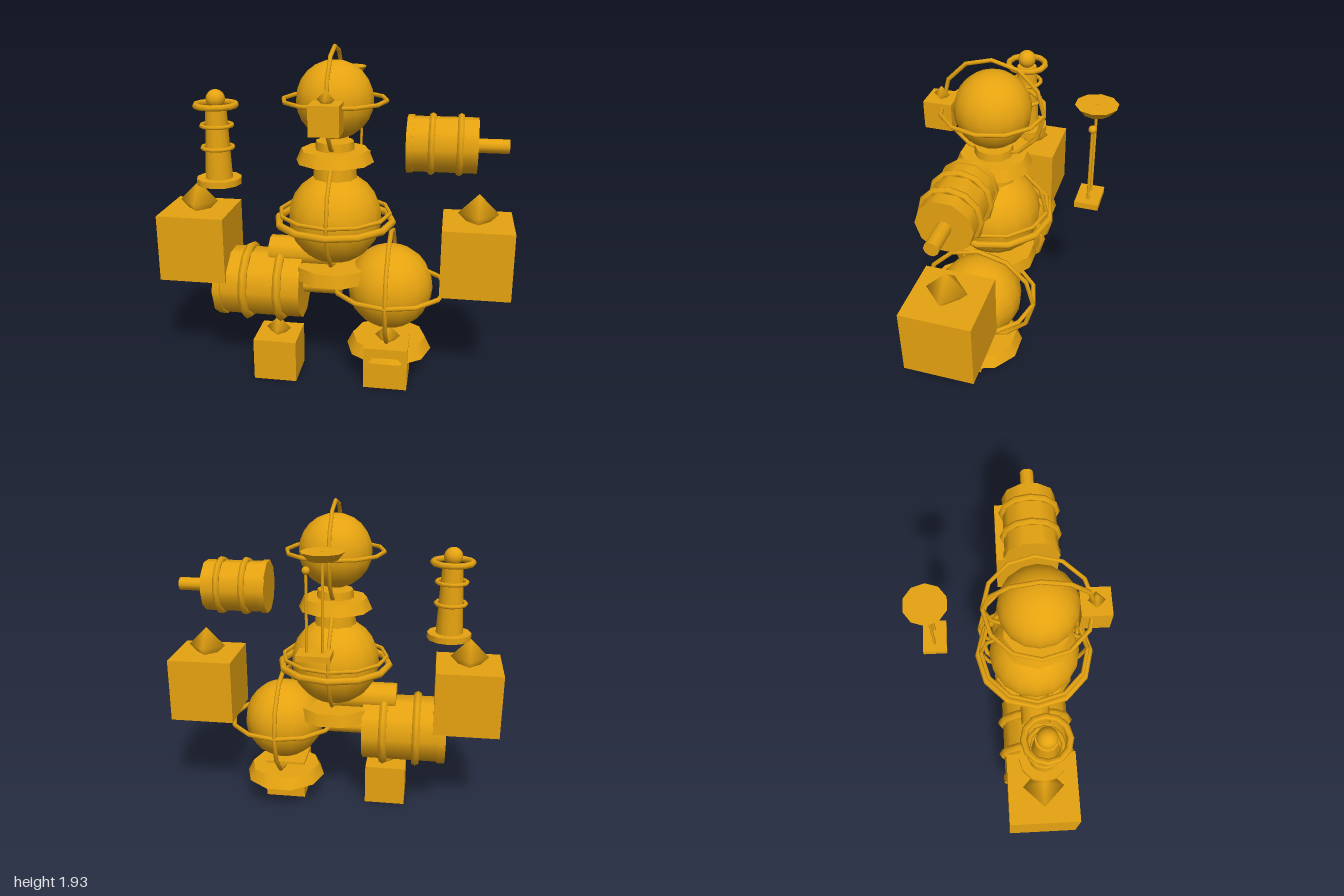
import * as THREE from 'three';

const Z = 0.155; // depth of the figure's main axis
const gold = new THREE.MeshStandardMaterial({ color: 0xe6a310 });

function add(parent, name, geometry, x = 0, y = 0, z = 0) {
  const mesh = new THREE.Mesh(geometry, gold);
  mesh.name = name;
  mesh.position.set(x, y, z);
  parent.add(mesh);
  return mesh;
}

function group(parent, name, x, y, z) {
  const g = new THREE.Group();
  g.name = name;
  g.position.set(x, y, z);
  parent.add(g);
  return g;
}

// Ten-sided cylinder with corners on the x axis
const drum = (top, bottom, height, sides = 10) =>
  new THREE.CylinderGeometry(top, bottom, height, sides).rotateY(Math.PI / 2);

const ball = (r) => new THREE.SphereGeometry(r, 16, 12);

// Twelve-sided rings, lying flat or standing in the side plane
const flatRing = (outer, tube, sides = 12) =>
  new THREE.TorusGeometry(outer - tube, tube, 6, sides).rotateX(Math.PI / 2);
const uprightRing = (outer, tube) =>
  new THREE.TorusGeometry(outer - tube, tube, 6, 12).rotateY(Math.PI / 2);

// Ball in a pair of crossed rings
function globe(parent, name, x, y, r, outer, tube, ringLift = 0) {
  const g = group(parent, name, x, y, Z);
  add(g, name + 'Ball', ball(r));
  add(g, name + 'LevelRing', flatRing(outer, tube), 0, ringLift);
  add(g, name + 'UprightRing', uprightRing(outer, tube), 0, ringLift);
  return g;
}

// Cube with a diamond knob on top
function knobbedCube(parent, name, size, x, y, z) {
  const g = group(parent, name, x, y, z);
  add(g, name + 'Cube', new THREE.BoxGeometry(size, size, size));
  add(g, name + 'Knob', new THREE.SphereGeometry(size * 0.29, 4, 2), 0, size * 0.62);
}

// Banded barrel with an axle, pointing along +x from its capped end
function barrel(parent, name, x, y, scale) {
  const g = group(parent, name, x, y, Z);
  g.scale.setScalar(scale);
  const along = (geometry) => geometry.rotateZ(-Math.PI / 2);
  const tube = (r, length) => along(new THREE.CylinderGeometry(r, r, length, 10));
  add(g, name + 'Drum', tube(0.152, 0.38), 0.19);
  add(g, name + 'EndCap', tube(0.159, 0.035), 0.018);
  for (const t of [0.135, 0.285]) {
    add(g, name + 'Band', uprightRing(0.175, 0.02), t);
  }
  add(g, name + 'Axle', tube(0.039, 0.185), 0.455);
}

// Small tower with a floating rim and a ball on top
function tower(parent) {
  const g = group(parent, 'tower', -0.676, 1.13, Z);
  add(g, 'towerBase', drum(0.13, 0.13, 0.036, 12), 0, 0.018);
  add(g, 'towerColumn', drum(0.06, 0.08, 0.42, 12), 0, 0.23);
  for (const y of [0.213, 0.34]) add(g, 'towerBand', flatRing(0.1, 0.012), 0, y);
  add(g, 'towerRim', flatRing(0.132, 0.018), 0, 0.455);
  add(g, 'towerBall', ball(0.054), 0, 0.488);
}

// Mast pair on a plate: one carries a dish, the other a ball
function antenna(parent) {
  const g = group(parent, 'antenna', 0.035, 1.168, -0.41);
  add(g, 'antennaPlate', new THREE.BoxGeometry(0.186, 0.034, 0.132), 0, 0.017);
  add(g, 'dishMast', drum(0.008, 0.008, 0.545, 8), -0.044, 0.305);
  add(g, 'dish', drum(0.115, 0.08, 0.042), -0.044, 0.554);
  add(g, 'ballMast', drum(0.008, 0.008, 0.45, 8), 0.042, 0.255);
  add(g, 'mastBall', new THREE.SphereGeometry(0.022, 10, 8), 0.042, 0.474);
}

export function createModel() {
  const model = new THREE.Group();
  model.name = 'robot';

  // Head, snout and neck
  globe(model, 'head', 0, 1.633, 0.215, 0.298, 0.012);
  knobbedCube(model, 'snout', 0.16, 0, 1.583, 0.446);
  add(model, 'neck', drum(0.107, 0.126, 0.225), 0, 1.2925, Z);
  add(model, 'neckCollar', drum(0.19, 0.22, 0.068), 0, 1.324, Z);

  // Torso, belt and hips
  const torso = globe(model, 'torso', 0, 0.96, 0.267, 0.327, 0.012, 0.034);
  add(torso, 'belt', flatRing(0.351, 0.021), 0, -0.017);
  add(model, 'waistCollar', drum(0.235, 0.25, 0.075), 0, 0.652, Z);
  const hip = new THREE.CylinderGeometry(0.088, 0.088, 0.38, 10).rotateZ(Math.PI / 2);
  add(model, 'hipShaft', hip, -0.19, 0.735, Z - 0.005);

  // Left leg is a ringed ball on a collar, right leg is a barrel
  globe(model, 'leftLeg', 0.323, 0.555, 0.247, 0.341, 0.014);
  add(model, 'leftAnkleCollar', drum(0.215, 0.25, 0.07), 0.323, 0.2, Z);
  barrel(model, 'rightLeg', -0.69, 0.533, 1.335);

  // Left arm barrel and right arm tower
  barrel(model, 'leftArm', 0.4, 1.404, 1);
  tower(model);

  // Hands and feet
  for (const side of [1, -1]) {
    const label = side > 0 ? 'left' : 'right';
    knobbedCube(model, label + 'Hand', 0.39, side * 0.805, 0.778, Z);
    knobbedCube(model, label + 'Foot', 0.251, side * 0.323, 0.1255, 0.253);
  }

  antenna(model);
  return model;
}
